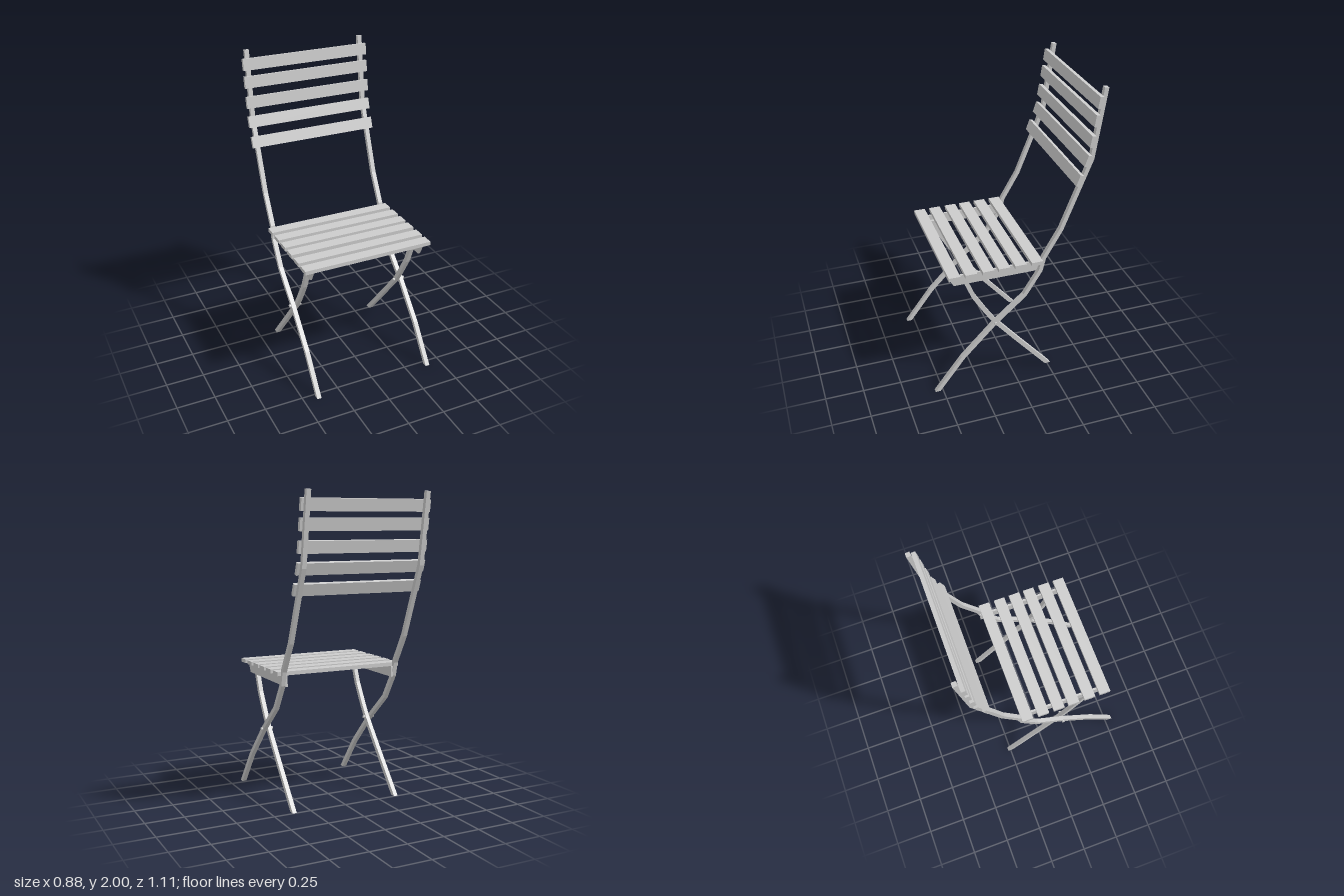
import * as THREE from 'three';

const material = new THREE.MeshStandardMaterial({ color: 0xcccccc, flatShading: true });

// Extrudes a side profile of [z, y] points along x, between x0 and x1
function sideExtrude(points, x0, x1) {
  const shape = new THREE.Shape(points.map(([z, y]) => new THREE.Vector2(z, y)));
  const geo = new THREE.ExtrudeGeometry(shape, { depth: x1 - x0, bevelEnabled: false });
  geo.rotateY(-Math.PI / 2);
  geo.translate(x1, 0, 0);
  return geo;
}

// Outline of a bent flat bar around a [z, y] centre line, with mitred bends.
// flatStart / flatEnd cut that end level with the ground.
function barOutline(path, width, flatStart, flatEnd) {
  const pts = path.map(([z, y]) => new THREE.Vector2(z, y));
  const last = pts.length - 1;
  const left = [], right = [];
  pts.forEach((p, i) => {
    const a = pts[Math.max(i - 1, 0)], b = pts[Math.min(i + 1, last)];
    const dirIn = (i > 0 ? p.clone().sub(a) : b.clone().sub(p)).normalize();
    const dirOut = (i < last ? b.clone().sub(p) : dirIn.clone()).normalize();
    const normal = new THREE.Vector2(-dirIn.y, dirIn.x);
    let offset = normal.clone().add(new THREE.Vector2(-dirOut.y, dirOut.x)).normalize();
    if ((i === 0 && flatStart) || (i === last && flatEnd)) {
      offset = new THREE.Vector2(Math.sign(normal.x), 0);
    }
    offset.multiplyScalar(width / 2 / offset.dot(normal));
    left.push([p.x + offset.x, p.y + offset.y]);
    right.unshift([p.x - offset.x, p.y - offset.y]);
  });
  return [...left, ...right];
}

export function createModel() {
  const chair = new THREE.Group();
  chair.name = 'foldingChair';
  const add = (geo, name) => {
    const mesh = new THREE.Mesh(geo, material);
    mesh.name = name;
    chair.add(mesh);
    return mesh;
  };

  // Long bars: front feet running up into the backrest
  const longBar = barOutline([
    [0.535, 0], [0.36, 0.235], [0.14, 0.465], [-0.062, 0.643], [-0.165, 0.81],
    [-0.186, 0.9], [-0.295, 1.09], [-0.475, 1.55], [-0.54, 1.998],
  ], 0.027, true, false);
  // Short bars: rear feet running up to the front of the seat
  const shortBar = barOutline([
    [-0.25, 0.008], [-0.01, 0.29], [0.135, 0.465], [0.19, 0.55], [0.27, 0.685], [0.33, 0.835],
  ], 0.029, true, true);
  // Seat rails with a slanted front end
  const rail = [[0.437, 0.87], [0.4, 0.8], [-0.184, 0.8], [-0.184, 0.87]];

  for (const [side, s] of [['left', 1], ['right', -1]]) {
    const span = (a, b) => (s > 0 ? [a, b] : [-b, -a]);
    add(sideExtrude(longBar, ...span(0.386, 0.415)), side + 'LongLegAndBackPost');
    add(sideExtrude(shortBar, ...span(0.356, 0.384)), side + 'ShortLeg');
    add(sideExtrude(rail, ...span(0.374, 0.388)), side + 'SeatRail');
    // Pivot bolt where the two bars cross
    const bolt = new THREE.CylinderGeometry(0.01, 0.01, 0.082, 12);
    bolt.rotateZ(Math.PI / 2);
    add(bolt, side + 'PivotBolt').position.set(s * 0.385, 0.465, 0.137);
  }

  // Seat slats
  [-0.135, -0.025, 0.083, 0.187, 0.299, 0.406].forEach((z, i) => {
    add(new THREE.BoxGeometry(0.872, 0.025, 0.075), 'seatSlat' + (i + 1)).position.set(0.001, 0.8825, z);
  });

  // Backrest slats, each leaning with the posts: [y, z, tilt]
  [
    [1.42, -0.396, 0.35], [1.545, -0.443, 0.33], [1.67, -0.466, 0.16],
    [1.8, -0.485, 0.144], [1.913, -0.501, 0.144],
  ].forEach(([y, z, tilt], i) => {
    const slat = add(new THREE.BoxGeometry(0.872, 0.075, 0.025), 'backSlat' + (i + 1));
    slat.position.set(-0.005, y, z);
    slat.rotation.x = -tilt;
  });

  return chair;
}
